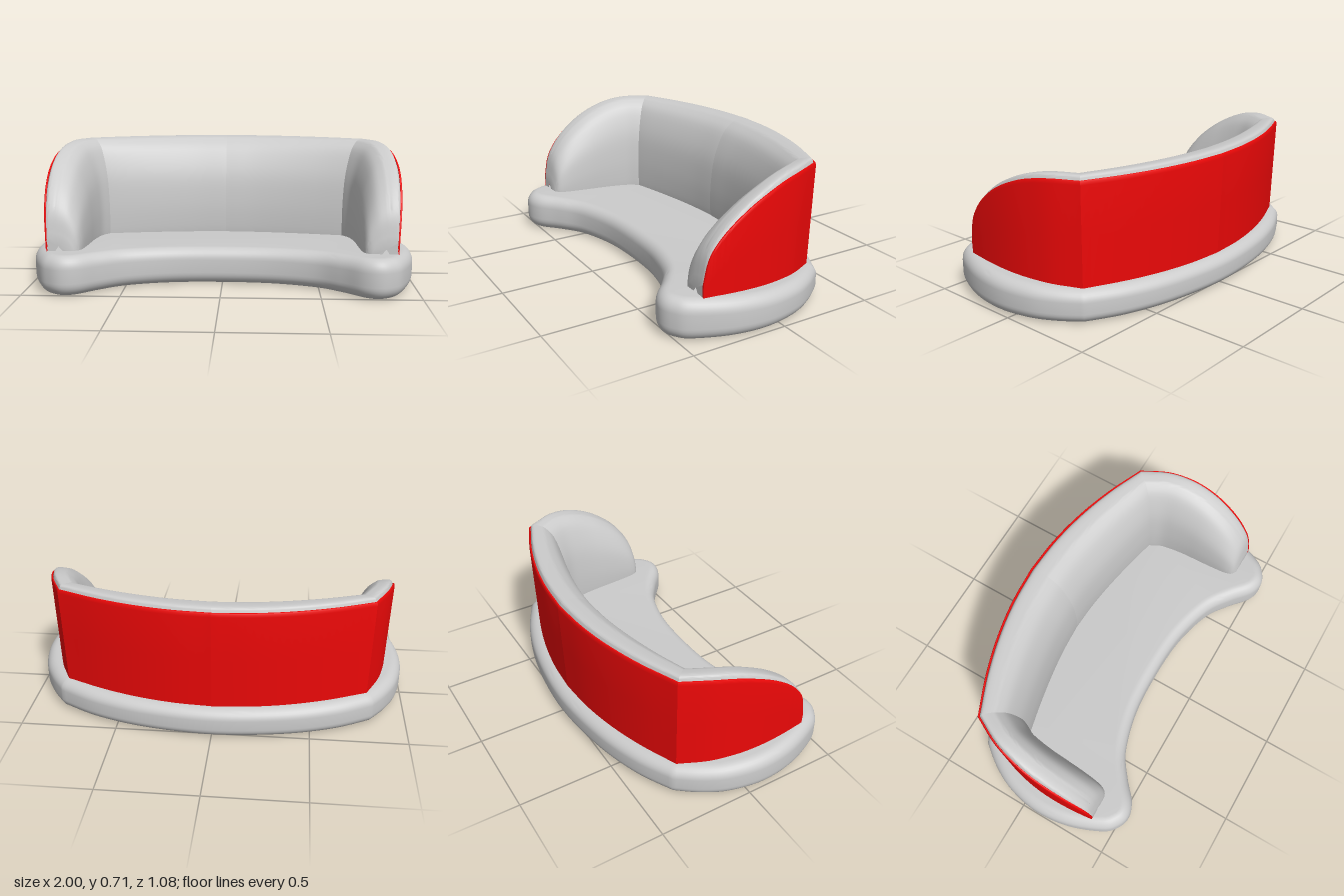
import * as THREE from 'three';
import { toCreasedNormals } from 'three/addons/utils/BufferGeometryUtils.js';

const BASE = 0.14; // walls start slightly inside the seat
const FULL = 0.71; // full height of the back

const v2 = (list) => list.map(([x, y]) => new THREE.Vector2(x, y));

// Stations of one half: outer x, outer z, inner x, inner z, height
const BACK = [
  [0, -0.51, 0, -0.25, 0.71], [0.2, -0.495, 0.165, -0.24, 0.71], [0.4, -0.457, 0.33, -0.218, 0.71],
  [0.6, -0.395, 0.5, -0.186, 0.71], [0.8, -0.31, 0.66, -0.15, 0.71],
];
const ARM = [
  [0.8, -0.31, 0.66, -0.15, 0.71], [0.87, -0.17, 0.69, -0.09, 0.71], [0.905, -0.05, 0.703, -0.02, 0.692],
  [0.922, 0.05, 0.71, 0.06, 0.658], [0.928, 0.15, 0.712, 0.15, 0.607], [0.925, 0.25, 0.715, 0.25, 0.532],
  [0.918, 0.32, 0.72, 0.32, 0.455], [0.912, 0.36, 0.732, 0.36, 0.38], [0.906, 0.383, 0.755, 0.38, 0.27],
];

// Cross-sections: across (0 outer, 1 inner) and height fraction
const CUSHION = new THREE.SplineCurve(v2([
  [0.05, 0], [0.05, 0.5], [0.05, 0.9], [0.07, 0.97], [0.13, 1], [0.33, 0.995], [0.47, 0.975],
  [0.7, 0.88], [0.92, 0.64], [1, 0.36], [1, 0.12], [0.97, 0],
])).getPoints(44);
const SHELL = v2([[0, 0], [0, 0.5], [0, 0.93], [0.006, 0.953], [0.02, 0.965], [0.05, 0.965], [0.06, 0.9], [0.06, 0]]);

// Sweep a cross-section along the stations; side -1 mirrors it
function sweep(stations, profile, side, cap) {
  const outer = new THREE.CatmullRomCurve3(stations.map((s) => new THREE.Vector3(s[0], s[4], s[1])), false, 'catmullrom');
  const inner = new THREE.CatmullRomCurve3(stations.map((s) => new THREE.Vector3(s[2], 0, s[3])), false, 'catmullrom');
  const steps = (stations.length - 1) * 5;
  const rows = [];
  for (let i = 0; i <= steps; i++) {
    const o = outer.getPoint(i / steps);
    const n = inner.getPoint(i / steps);
    rows.push(profile.map((p) => {
      const y = BASE + p.y * (o.y - BASE);
      // the outer face leans outwards towards the top
      const w = p.x + (p.x < 0.3 ? 0.09 * (FULL - y) / (FULL - BASE) : 0);
      return new THREE.Vector3(side * (o.x + (n.x - o.x) * w), y, o.z + (n.z - o.z) * w);
    }));
  }
  if (cap) {
    const last = rows[rows.length - 1];
    const mid = last.reduce((sum, p) => sum.add(p), new THREE.Vector3()).divideScalar(last.length);
    rows.push(last.map(() => mid.clone()));
  }
  const count = profile.length;
  const index = [];
  for (let i = 0; i < rows.length - 1; i++) {
    for (let j = 0; j < count - 1; j++) {
      const a = i * count + j, b = a + 1, c = a + count, d = c + 1;
      const lastRow = cap && i === rows.length - 2;
      if (side > 0) index.push(a, b, c); else index.push(a, c, b);
      if (lastRow) continue;
      if (side > 0) index.push(b, d, c); else index.push(b, c, d);
    }
  }
  const geometry = new THREE.BufferGeometry().setFromPoints(rows.flat());
  geometry.setIndex(index);
  return toCreasedNormals(geometry, 0.6);
}

// Kidney-shaped seat with rounded edges and a top that rises to the front
function seatGeometry() {
  const back = [[-0.82, 0.335], [-0.62, 0.435], [-0.35, 0.51], [0, 0.545], [0.35, 0.51], [0.62, 0.435], [0.82, 0.335]];
  const half = [
    [0.82, 0.335], [0.9, 0.23], [0.965, 0.1], [1, -0.08], [0.98, -0.27], [0.91, -0.45], [0.85, -0.515], [0.78, -0.54],
    [0.7, -0.515], [0.6, -0.43], [0.47, -0.345], [0.25, -0.285],
  ];
  const front = [...half, [0, -0.27], ...half.map(([x, y]) => [-x, y]).reverse()];
  const shape = new THREE.Shape();
  shape.moveTo(...back[0]);
  shape.splineThru(v2(back.slice(1)));
  shape.splineThru(v2(front.slice(1)));
  const height = 0.182, bevel = 0.06;
  const geometry = new THREE.ExtrudeGeometry(shape, {
    depth: height - 2 * bevel, bevelThickness: bevel, bevelSize: bevel, bevelOffset: -bevel,
    bevelSegments: 8, curveSegments: 5,
  });
  geometry.translate(0, 0, bevel).rotateX(-Math.PI / 2);
  const pos = geometry.attributes.position;
  for (let i = 0; i < pos.count; i++) {
    pos.setY(i, pos.getY(i) * (1 + 0.27 * pos.getZ(i)));
  }
  return toCreasedNormals(geometry, 0.6);
}

export function createModel() {
  const fabric = new THREE.MeshStandardMaterial({ color: 0xcccccc, side: THREE.DoubleSide });
  const red = new THREE.MeshStandardMaterial({ color: 0xee0808, side: THREE.DoubleSide });
  const model = new THREE.Group();
  model.name = 'curvedSofa';
  const add = (name, geometry, material) => {
    const mesh = new THREE.Mesh(geometry, material);
    mesh.name = name;
    model.add(mesh);
  };

  add('seat', seatGeometry(), fabric);

  // Back and arms, each a cushion with a thin outer shell
  for (const [side, label] of [[1, 'left'], [-1, 'right']]) {
    add(label + 'BackCushion', sweep(BACK, CUSHION, side, false), fabric);
    add(label + 'ArmCushion', sweep(ARM, CUSHION, side, true), fabric);
    add(label + 'BackShell', sweep(BACK, SHELL, side, false), red);
    add(label + 'ArmShell', sweep(ARM, SHELL, side, true), red);
  }
  return model;
}
